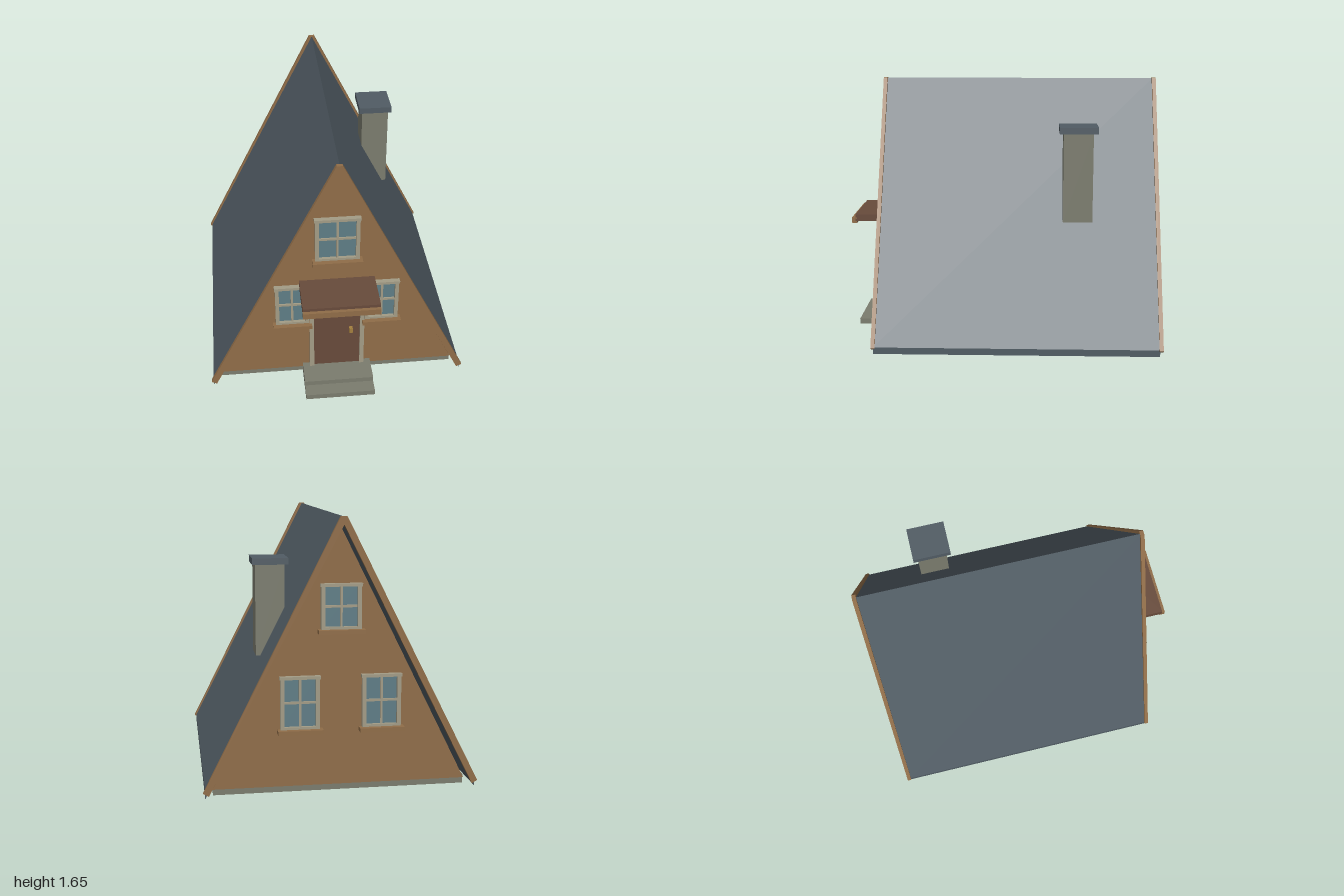
import * as THREE from 'three';

const mat = (name, color) => {
  const m = new THREE.MeshStandardMaterial({ color });
  m.name = name;
  return m;
};

export function createModel() {
  const slate = mat('slate', 0x515c64);
  const wood = mat('wood', 0x906d48);
  const stone = mat('stone', 0x7b7c6e);
  const frameMat = mat('frame', 0xa39c86);
  const glass = mat('glass', 0x5f7d86);
  const darkWood = mat('dark wood', 0x684b3b);
  const brass = mat('brass', 0xa5803f);

  const house = new THREE.Group();
  house.name = 'cabin';
  const FRONT = 0.7, BACK = -0.9;

  // Box given by its min and max on each axis
  function box(name, material, [x0, x1], [y0, y1], [z0, z1], parent = house) {
    const mesh = new THREE.Mesh(new THREE.BoxGeometry(x1 - x0, y1 - y0, z1 - z0), material);
    mesh.position.set((x0 + x1) / 2, (y0 + y1) / 2, (z0 + z1) / 2);
    mesh.name = name;
    parent.add(mesh);
    return mesh;
  }

  // Symmetric outline (right half listed from apex, mirrored) extruded from z0 to z1
  function prism(name, material, outline, z0, z1) {
    const shape = new THREE.Shape(outline.map(([x, y]) => new THREE.Vector2(x, y)));
    const geo = new THREE.ExtrudeGeometry(shape, { depth: z1 - z0, bevelEnabled: false });
    geo.translate(0, 0, z0);
    const mesh = new THREE.Mesh(geo, material);
    mesh.name = name;
    house.add(mesh);
  }
  const mirror = (pts) => pts.map(([x, y]) => [-x, y]).reverse();
  const chevron = (outer, inner) =>
    [...outer, ...inner, ...mirror(inner).slice(1), ...mirror(outer)];

  // Body
  box('foundation', stone, [-0.765, 0.765], [0, 0.057], [BACK + 0.005, FRONT - 0.005]);
  prism('walls', wood, [[0, 1.58], [-0.768, 0.036], [0.768, 0.036]], BACK, FRONT);

  // Roof and gable trim
  prism('roof', slate,
    [[0, 1.645], [0.814, 0.05], [0.814, 0.008], [0, 1.605], [-0.814, 0.008], [-0.814, 0.05]],
    -0.98, 0.785);
  const trim = chevron([[0.018, 1.647], [0.826, 0.048]], [[0.793, 0.03], [0, 1.6]]);
  prism('frontGableTrim', wood, trim, 0.775, 0.8);
  prism('backGableTrim', wood, trim, -1, -0.975);

  // Chimney
  box('chimney', stone, [0.293, 0.473], [0.772, 1.335], [-0.572, -0.385]);
  box('chimneyCap', slate, [0.271, 0.492], [1.335, 1.375], [-0.602, -0.36]);

  // Window facing +z in its own group, with four panes, bars and a sill
  function addWindow(name, x, y, w, h, back = false) {
    const g = new THREE.Group();
    g.name = name;
    const a = w / 2, b = h / 2, t = 0.024, bar = 0.007;
    box('glass', glass, [-a + 0.01, a - 0.01], [-b + 0.01, b - 0.01], [0, 0.008], g);
    for (const s of [-1, 1]) {
      const xs = s < 0 ? [-a, -a + t] : [a - t, a];
      box('sideFrame', frameMat, xs, [-b, b - 0.018], [0, 0.028], g);
    }
    box('topFrame', frameMat, [-a - 0.005, a + 0.005], [b - 0.018, b], [0, 0.032], g);
    box('bottomFrame', frameMat, [-a + t, a - t], [-b, -b + 0.015], [0, 0.028], g);
    box('verticalBar', frameMat, [-bar, bar], [-b + 0.015, b - 0.018], [0, 0.02], g);
    box('horizontalBar', frameMat, [-a + t, a - t], [-bar, bar], [0, 0.018], g);
    box('sill', wood, [-a - 0.018, a + 0.018], [-b - 0.024, -b], [0, 0.06], g);
    g.position.set(x, y, back ? BACK : FRONT);
    if (back) g.rotation.y = Math.PI;
    house.add(g);
  }
  addWindow('frontUpperWindow', 0, 1.078, 0.275, 0.305);
  addWindow('backUpperWindow', 0, 1.12, 0.24, 0.27, true);
  for (const [side, s] of [['Left', 1], ['Right', -1]]) {
    addWindow(`front${side}Window`, s * 0.286, 0.583, 0.212, 0.296);
    addWindow(`back${side}Window`, s * 0.245, 0.55, 0.235, 0.32, true);
  }

  // Door with frame and handle
  box('door', darkWood, [-0.15, 0.15], [0.066, 0.67], [FRONT, FRONT + 0.02]);
  for (const s of [-1, 1]) {
    const xs = s < 0 ? [-0.177, -0.149] : [0.149, 0.177];
    box('doorPost', frameMat, xs, [0.05, 0.67], [FRONT, FRONT + 0.035]);
  }
  box('doorHeader', frameMat, [-0.182, 0.182], [0.67, 0.702], [FRONT, FRONT + 0.038]);
  box('doorHandle', brass, [0.079, 0.101], [0.34, 0.376], [FRONT + 0.02, FRONT + 0.045]);

  // Canopy over the door
  box('canopy', darkWood, [-0.238, 0.238], [0.717, 0.762], [FRONT, 0.978]);
  box('canopyFascia', wood, [-0.238, 0.238], [0.703, 0.742], [0.968, 1]);

  // Steps
  box('lowerStep', stone, [-0.223, 0.223], [0, 0.034], [FRONT - 0.005, 0.97]);
  box('upperStep', stone, [-0.223, 0.223], [0.034, 0.066], [FRONT - 0.005, 0.88]);

  return house;
}
